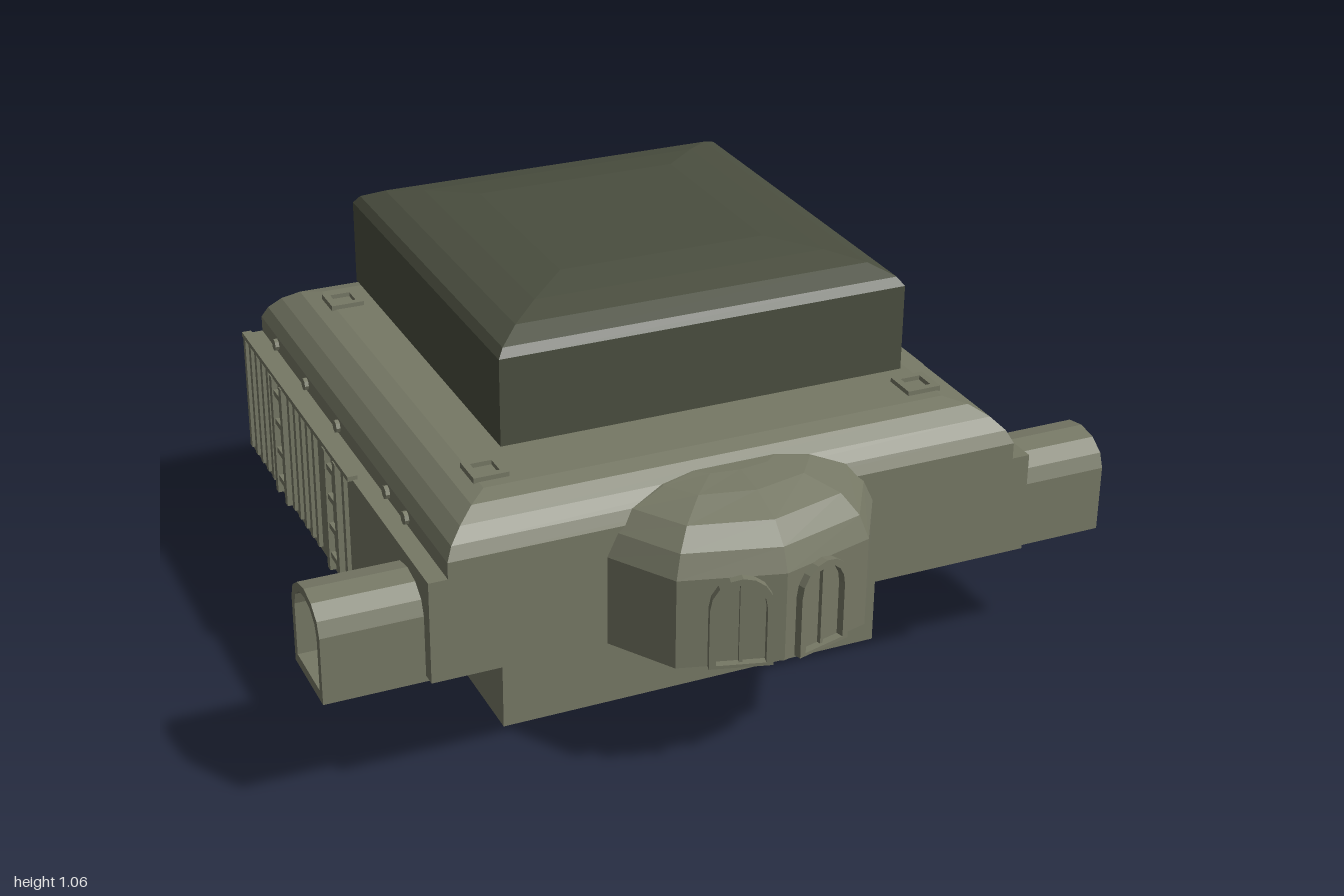
import * as THREE from 'three';

const hullPaint = new THREE.MeshStandardMaterial({ color: 0x767865, flatShading: true });
hullPaint.name = 'olive grey hull';
const darkPaint = new THREE.MeshStandardMaterial({ color: 0x4a4e3f, flatShading: true });
darkPaint.name = 'dark olive cap';

export function createModel() {
  const root = new THREE.Group();
  root.name = 'station';

  const add = (name, geo, x = 0, y = 0, z = 0, mat = hullPaint, ry = 0) => {
    const m = new THREE.Mesh(geo, mat);
    m.name = name;
    m.position.set(x, y, z);
    m.rotation.y = ry;
    root.add(m);
    return m;
  };
  // Box given by its limits
  const box = (name, x0, x1, y0, y1, z0, z1, mat) =>
    add(name, new THREE.BoxGeometry(x1 - x0, y1 - y0, z1 - z0), (x0 + x1) / 2, (y0 + y1) / 2, (z0 + z1) / 2, mat);
  const extrude = (shape, depth) => new THREE.ExtrudeGeometry(shape, { depth, bevelEnabled: false });
  const outline = (pts) => new THREE.Shape(pts.map(([x, y]) => new THREE.Vector2(x, y)));

  // Closed solid through stacked rings of [x, y, z] corners
  const loft = (rings) => {
    const v = [];
    const tri = (...p) => p.forEach((q) => v.push(...q));
    const n = rings[0].length;
    for (let r = 0; r < rings.length - 1; r++) {
      for (let i = 0; i < n; i++) {
        const j = (i + 1) % n;
        const [a, b, c, d] = [rings[r][i], rings[r][j], rings[r + 1][j], rings[r + 1][i]];
        tri(a, b, c);
        tri(a, c, d);
      }
    }
    const top = rings[rings.length - 1];
    const low = rings[0];
    for (let i = 1; i < n - 1; i++) {
      tri(top[0], top[i], top[i + 1]);
      tri(low[0], low[i + 1], low[i]);
    }
    const g = new THREE.BufferGeometry();
    g.setAttribute('position', new THREE.Float32BufferAttribute(v, 3));
    g.computeVertexNormals();
    return g;
  };
  const rect = (hx, z0, z1, y) => [[hx, y, z1], [hx, y, z0], [-hx, y, z0], [-hx, y, z1]];

  // Arch outline: straight sides up to the spring line, then a faceted vault
  const archPts = (hw, y0, spring, y1, n = 6, cx = 0) => {
    const p = [[cx - hw, y0], [cx + hw, y0]];
    for (let i = 0; i <= n; i++) {
      const a = (i / n) * Math.PI;
      p.push([cx + hw * Math.cos(a), spring + (y1 - spring) * Math.sin(a)]);
    }
    return p;
  };
  const archFrame = (outer, inner) => {
    const s = outline(outer);
    s.holes.push(outline(inner));
    return s;
  };

  // Main hull with a sloped belly, pierced by the cross tunnel
  const hull = outline([[-0.76, 0.34], [-0.53, 0.34], [-0.27, 0.26], [0.63, 0.26], [0.63, 0.59], [-0.76, 0.59]]);
  hull.holes.push(outline(archPts(0.095, 0.342, 0.49, 0.555, 6, -0.625)));
  add('hull', extrude(hull, 1.49), -0.745, 0, 0, hullPaint, Math.PI / 2);

  // Cross tunnel opening on both sides
  const tube = archFrame(archPts(0.1, 0.325, 0.49, 0.56), archPts(0.08, 0.35, 0.48, 0.54));
  add('sideTunnel', extrude(tube, 1.96), -0.98, 0, 0.625, hullPaint, Math.PI / 2);

  // Rounded roof
  const roof = [[0.7, 0, 0.585], [0.7, 0, 0.63], [0.685, 0.015, 0.66], [0.655, 0.04, 0.69], [0.615, 0.075, 0.715], [0.57, 0.12, 0.725]];
  add('roof', loft(roof.map(([hx, inset, y]) => rect(hx, -0.63 + inset, 0.76 - inset, y))));

  // Pedestal and dark cap
  box('pedestal', -0.165, 0.165, 0.72, 0.78, -0.085, 0.225);
  const cap = [[0.5, 0.775], [0.5, 0.985], [0.485, 1.005], [0.435, 1.03], [0.36, 1.046], [0.255, 1.058]];
  add('cap', loft(cap.map(([h, y]) => rect(h, 0.065 - h, 0.065 + h, y))), 0, 0, 0, darkPaint);

  // Front bay with a domed top
  const plan = [[0, 0.28], [0.235, 0.215], [0.33, 0.06], [0.33, 0], [-0.33, 0], [-0.33, 0.06], [-0.235, 0.215]];
  const bay = [[1, 1, 0.34], [1, 1, 0.56], [0.93, 0.92, 0.615], [0.8, 0.76, 0.66], [0.55, 0.45, 0.69], [0.3, 0.15, 0.7]];
  add('frontBay', loft(bay.map(([sx, sz, y]) => plan.map(([x, z]) => [x * sx, y, 0.7 + z * sz]))));

  // Arched window frames with a mullion on the two front facets
  const windowFrame = archFrame(archPts(0.072, 0.342, 0.49, 0.565, 8), archPts(0.056, 0.35, 0.485, 0.55, 8));
  for (const s of [1, -1]) {
    const f = add('bayWindow', extrude(windowFrame, 0.02), s * 0.097, 0, 0.952, hullPaint, s * 0.27);
    const bar = new THREE.Mesh(new THREE.BoxGeometry(0.008, 0.2, 0.012), hullPaint);
    bar.name = 'mullion';
    bar.position.set(0, 0.45, 0.005);
    f.add(bar);
  }

  // Lower block, with a stepped underside along the back
  box('lowerBlock', -0.49, 0.49, 0.015, 0.34, -0.25, 0.52);
  const back = [[-0.49, 0.27], [-0.49, 0.015], [-0.3, 0.015]];
  for (let i = 0; i < 9; i++) {
    const x = -0.3 + i * 0.035;
    const y = 0.015 + (i + 1) * 0.022;
    back.push([x, y], [x + 0.035, y]);
  }
  back.push([0.12, 0.213], [0.12, 0.015], [0.49, 0.015], [0.49, 0.27]);
  add('stairUnderside', extrude(outline(back), 0.135), 0, 0, -0.385);
  const chin = outline([[-0.18, 0.338], [-0.18, 0.31], [-0.09, 0.24], [0.09, 0.24], [0.18, 0.31], [0.18, 0.338]]);
  add('chinPlate', extrude(chin, 0.008), 0, 0, 0.518);

  // Arched buttresses on both sides of the lower block
  for (const z of [0.02, -0.18]) {
    const g = extrude(outline(archPts(0.073, 0.016, 0.14, 0.208, 4)), 1.13);
    add('sideButtress', g, -0.565, 0, z, hullPaint, Math.PI / 2);
  }

  // Rear tunnel and its tapered collar
  const rear = archFrame(archPts(0.125, 0.275, 0.45, 0.56), archPts(0.1, 0.3, 0.44, 0.535));
  add('rearTunnel', extrude(rear, 0.37), 0, 0, -1);
  box('rearCollarBase', -0.19, 0.19, 0.272, 0.32, -0.76, -0.625);
  const collar = (y, hx) => [[0.19, y, -0.62], [hx, y, -0.757], [-hx, y, -0.757], [-0.19, y, -0.62]];
  add('rearCollar', loft([collar(0.31, 0.14), collar(0.57, 0.14)]));
  for (const s of [1, -1]) {
    for (const z of [-0.8, -0.86]) box('rearSidePanel', s * 0.127 - 0.004, s * 0.127 + 0.004, 0.28, 0.47, z - 0.02, z + 0.02);
  }
  box('rearHatch', -0.22, 0.22, 0.25, 0.262, -0.66, -0.52);
  box('rearHatchLip', -0.19, 0.19, 0.243, 0.25, -0.64, -0.54);

  // Square frames on the roof and under the lower block
  const square = (h) => [[-h, -h], [h, -h], [h, h], [-h, h]];
  const frameGeo = (h) => extrude(archFrame(square(h), square(h * 0.6)), 0.014).rotateX(-Math.PI / 2);
  for (const sx of [1, -1]) {
    for (const sz of [1, -1]) {
      add('roofHatch', frameGeo(0.042), sx * 0.54, 0.722, 0.07 + sz * 0.5);
      add('roofPad', frameGeo(0.052), sx * 0.22, 0.722, 0.07 + sz * 0.24);
      add('footPad', frameGeo(0.045), sx * 0.22, 0.002, 0.07 + sz * 0.24);
    }
  }
  const circle = (r) => Array.from({ length: 8 }, (_, i) => {
    const a = ((i + 0.5) * Math.PI) / 4;
    return [r * Math.cos(a), r * Math.sin(a)];
  });
  add('bellyRing', extrude(archFrame(circle(0.14), circle(0.125)), 0.015).rotateX(-Math.PI / 2), 0, 0.001, 0.07);

  // Ribs, ladders, ledge and bolts on each flank
  for (const s of [1, -1]) {
    const flank = (name, y0, y1, z0, z1, out) => box(name, s * 0.745 - out, s * 0.745 + out, y0, y1, z0, z1);
    for (const z of [-0.61, -0.56, -0.51, -0.46, -0.41, -0.23, -0.18, -0.13, -0.08, -0.03, 0.2]) {
      flank('rib', 0.275, 0.585, z - 0.009, z + 0.009, 0.01);
    }
    for (const z of [-0.32, 0.11]) {
      for (const d of [-0.04, 0.04]) flank('ladderRail', 0.265, 0.59, z + d - 0.01, z + d + 0.01, 0.015);
      for (let i = 0; i < 4; i++) flank('ladderRung', 0.3 + i * 0.08, 0.315 + i * 0.08, z - 0.04, z + 0.04, 0.011);
    }
    flank('ledge', 0.588, 0.6, -0.62, 0.25, 0.012);
    for (const z of [0.5, 0.37, 0.01, -0.24, -0.49]) {
      add('bolt', new THREE.CylinderGeometry(0.016, 0.016, 0.02, 8).rotateZ(Math.PI / 2), s * 0.7, 0.61, z);
    }
  }
  return root;
}
